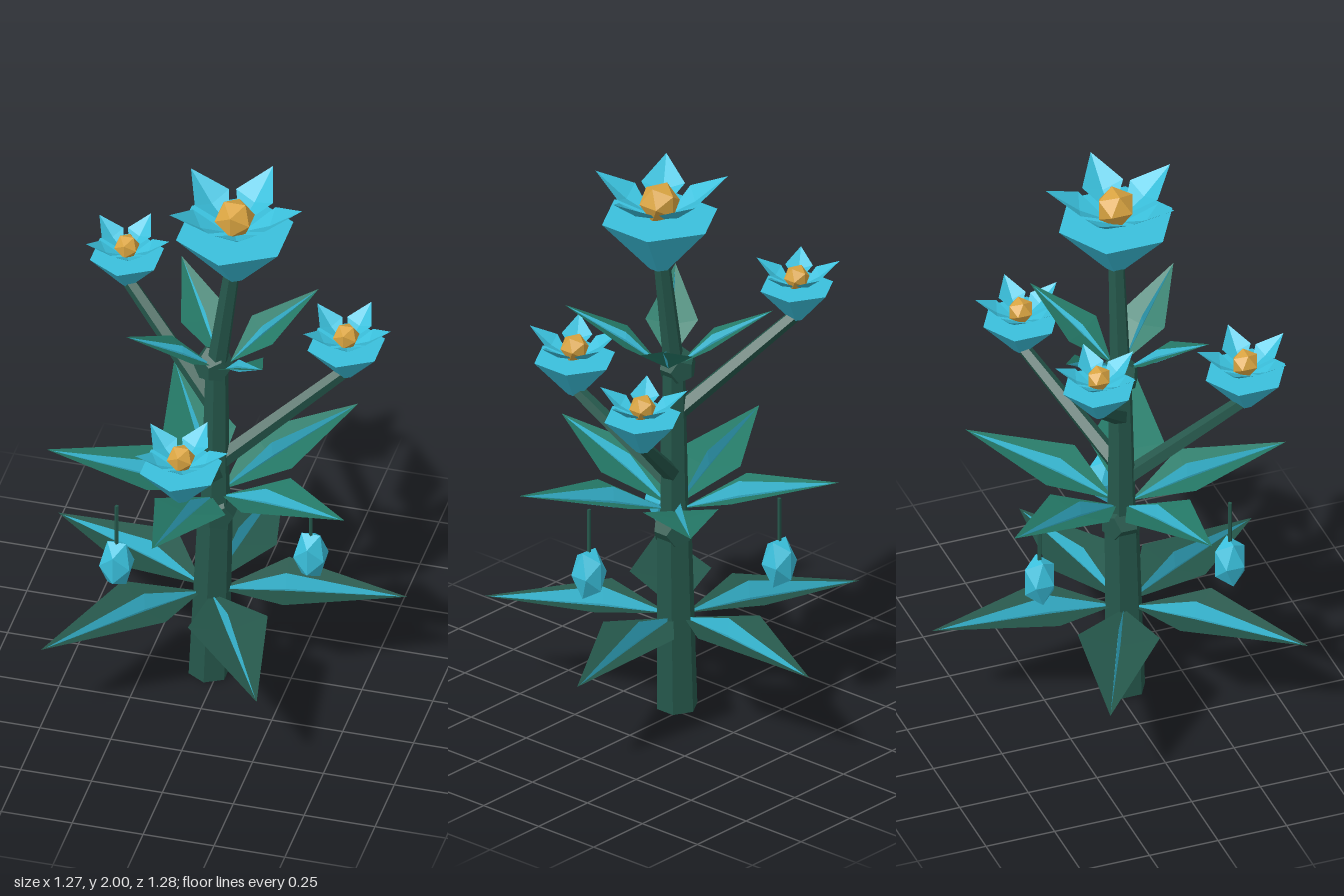
import * as THREE from 'three';
import { ConvexGeometry } from 'three/addons/geometries/ConvexGeometry.js';

const V = (x, y, z) => new THREE.Vector3(x, y, z);

function material(name, color) {
  const m = new THREE.MeshStandardMaterial({ color, flatShading: true, side: THREE.DoubleSide });
  m.name = name;
  return m;
}

export function createModel() {
  const stemGreen = material('stem green', 0x25574b);
  const leafGreen = material('leaf green', 0x257a68);
  const blue = material('petal blue', 0x3ac0dc);
  const gold = material('pollen gold', 0xd9a441);

  const model = new THREE.Group();
  model.name = 'crystalPlant';

  function add(parent, name, geometry, mat, position = V(0, 0, 0)) {
    const mesh = new THREE.Mesh(geometry, mat);
    mesh.name = name;
    mesh.position.copy(position);
    parent.add(mesh);
    return mesh;
  }

  // Tapered prism between two points
  function limb(name, a, b, r0, r1, sides) {
    const dir = b.clone().sub(a);
    const geometry = new THREE.CylinderGeometry(r1, r0, dir.length(), sides);
    const mesh = add(model, name, geometry, stemGreen, a.clone().add(b).multiplyScalar(0.5));
    mesh.quaternion.setFromUnitVectors(V(0, 1, 0), dir.normalize());
  }

  // Folded kite blade pointing along +x, widest at fraction f of its length
  function blade(start, length, half, rise, f, edgeLift, midLift) {
    const x = start + (length - start) * f;
    const base = V(start, 0, 0), tip = V(length, rise, 0);
    const mid = V(x, rise * f + midLift, 0);
    const near = V(x, rise * f + edgeLift, half), far = V(x, rise * f + edgeLift, -half);
    const geometry = new THREE.BufferGeometry().setFromPoints([
      base, near, mid, near, tip, mid, base, mid, far, mid, tip, far,
    ]);
    geometry.computeVertexNormals();
    return geometry;
  }

  // Stem in three tapering sections
  const foot = V(-0.03, 0, 0.033), joint1 = V(-0.01, 0.68, 0.028);
  const joint2 = V(-0.005, 1.29, 0.025), crown = V(0.057, 1.75, 0.033);
  limb('lowerStem', foot, joint1, 0.0725, 0.062, 6);
  limb('middleStem', joint1, joint2, 0.052, 0.04, 6);
  limb('upperStem', joint2, crown, 0.037, 0.028, 6);
  add(model, 'lowerKnot', new THREE.DodecahedronGeometry(0.077), stemGreen, joint1);
  add(model, 'upperKnot', new THREE.DodecahedronGeometry(0.068), stemGreen, V(-0.018, 1.287, 0.02));

  // Leaf tiers with upright blue midribs
  const tiers = [
    { name: 'lowerLeaf', at: V(-0.03, 0.345, 0.03), n: 5, phase: -83, length: 0.675, half: 0.14, rise: 0, mat: stemGreen },
    { name: 'middleLeaf', at: V(-0.01, 0.755, 0.03), n: 5, phase: 24.8, length: 0.575, half: 0.13, rise: 0.15, mat: leafGreen },
    { name: 'upperLeaf', at: V(0.015, 1.3, 0.03), n: 4, phase: 52, length: 0.356, half: 0.09, rise: 0.215, mat: leafGreen },
  ];
  for (const t of tiers) {
    const k = t.length / 0.675, f = 0.36;
    const surface = blade(0.03, t.length, t.half, t.rise, f, 0.045 * k, 0.005);
    const x = 0.03 + (t.length - 0.03) * f, y = t.rise * f;
    const midrib = new ConvexGeometry([
      V(0.03, 0, 0), V(t.length * 0.97, t.rise * 0.97, 0),
      V(x, y + 0.078 * k, 0), V(x, y - 0.012, 0),
      V(x, y + 0.015, 0.006), V(x, y + 0.015, -0.006),
    ]);
    for (let i = 0; i < t.n; i++) {
      const leaf = new THREE.Group();
      leaf.name = t.name;
      leaf.position.copy(t.at);
      leaf.rotation.y = -(t.phase * Math.PI / 180 + i * 2 * Math.PI / t.n);
      add(leaf, 'leafSurface', surface, t.mat);
      add(leaf, 'leafMidrib', midrib, blue);
      model.add(leaf);
    }
  }

  // Flowers: hexagonal cup, five folded petals, faceted centre; origin at the rim
  const cup = new THREE.CylinderGeometry(0.207, 0.035, 0.19, 6);
  const petal = blade(0.03, 0.238, 0.075, 0.125, 0.45, 0.012, -0.015);
  const centre = new THREE.IcosahedronGeometry(0.072);
  function flower(name, position, scale) {
    const g = new THREE.Group();
    g.name = name;
    g.position.copy(position);
    g.scale.setScalar(scale);
    add(g, 'cup', cup, blue, V(0, -0.095, 0));
    for (let i = 0; i < 5; i++) {
      add(g, 'petal', petal, blue, V(0, 0.004, 0)).rotation.y = -i * 2 * Math.PI / 5;
    }
    add(g, 'flowerCentre', centre, gold, V(0, 0.055, 0));
    model.add(g);
  }
  flower('topFlower', V(0.06, 1.871, 0.033), 1);

  // Side branches, each ending in a smaller flower
  const branches = [
    { name: 'right', from: V(0, 1.1, 0.03), to: V(-0.383, 1.525, -0.198), s: 0.63 },
    { name: 'left', from: V(0, 0.885, 0.03), to: V(0.394, 1.302, -0.185), s: 0.66 },
    { name: 'front', from: V(-0.005, 0.84, 0.03), to: V(-0.008, 1.177, 0.48), s: 0.7 },
  ];
  for (const b of branches) {
    const end = b.to.clone();
    end.y -= 0.16 * b.s;
    limb(b.name + 'Branch', b.from, end, 0.032, 0.024, 5);
    flower(b.name + 'Flower', b.to, b.s);
  }

  // Hanging buds on thin stalks
  const bud = new THREE.IcosahedronGeometry(0.063).scale(1, 1.58, 1);
  const stalk = new THREE.CylinderGeometry(0.007, 0.007, 0.17, 5);
  for (const [x, z] of [[-0.278, 0.32], [0.347, 0.1], [-0.15, -0.325]]) {
    add(model, 'bud', bud, blue, V(x, 0.61, z));
    add(model, 'budStalk', stalk, stemGreen, V(x, 0.765, z));
  }
  return model;
}
